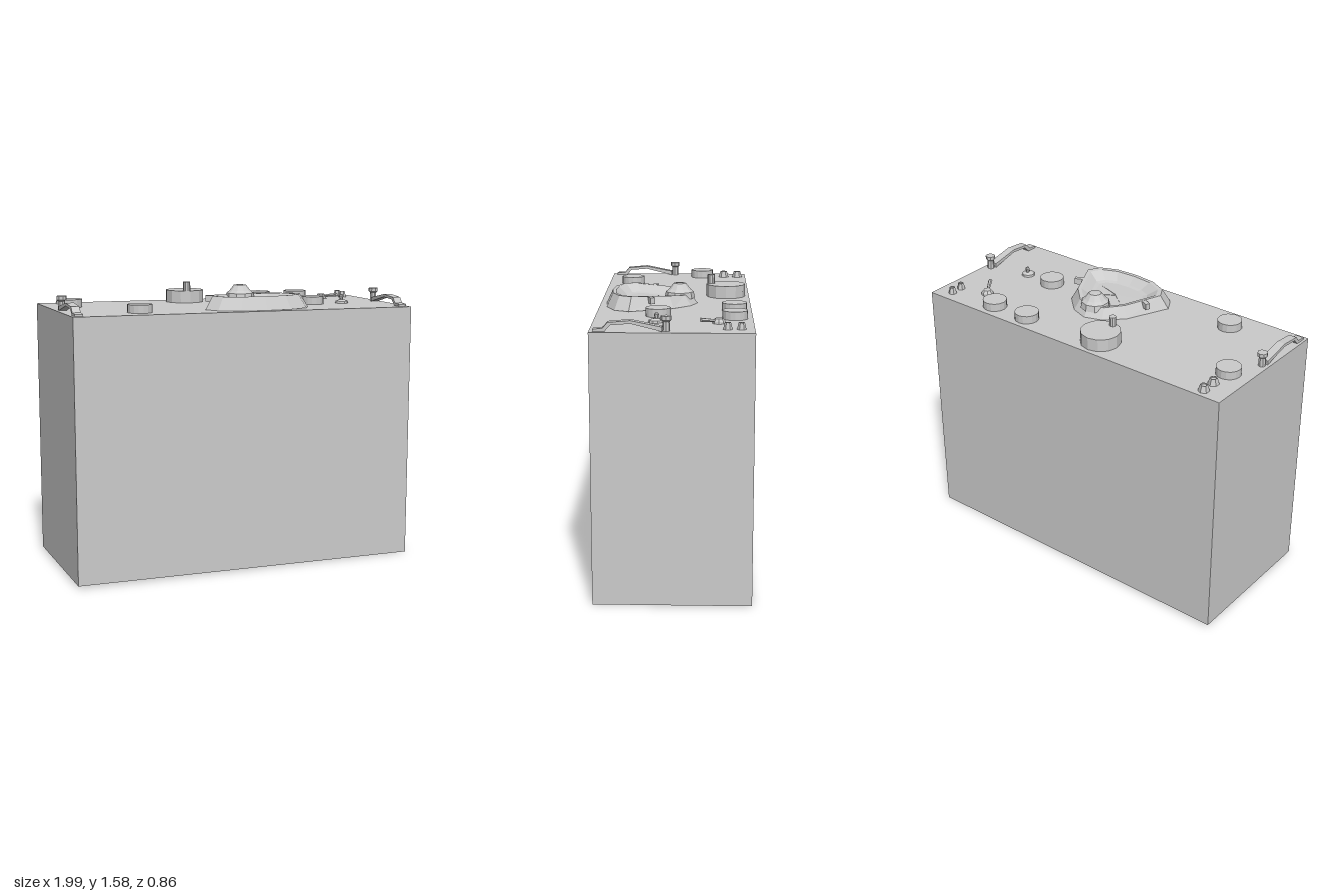
import * as THREE from 'three';

const material = new THREE.MeshStandardMaterial({ color: 0xcccccc, flatShading: true, side: THREE.DoubleSide });

// The case leans very slightly, so the lid height depends on x.
const lid = (x) => 1.461 - 0.006 * x;

export function createModel() {
  const model = new THREE.Group();

  function add(name, geometry, x = 0, y = 0, z = 0, parent = model) {
    const mesh = new THREE.Mesh(geometry, material);
    mesh.name = name;
    mesh.position.set(x, y, z);
    parent.add(mesh);
    return mesh;
  }

  // Upright round part standing on the lid, from [radius, height] steps
  function turned(name, x, z, sides, steps) {
    const points = steps.map(([r, h]) => new THREE.Vector2(r, h));
    return add(name, new THREE.LatheGeometry(points, sides), x, lid(x), z);
  }

  // Case: a box sheared a little along x
  const box = new THREE.BoxGeometry(1.993, 1.453, 0.84);
  const p = box.attributes.position;
  for (let i = 0; i < p.count; i++) {
    const x = p.getX(i);
    p.setY(i, p.getY(i) - 0.0068 * x);
    p.setZ(i, p.getZ(i) - 0.01 * x);
  }
  add('case', box, -0.002, 0.734, -0.005);

  // Five small dials
  for (const [x, z] of [[-0.87, -0.145], [-0.59, 0.275], [0.35, -0.335], [0.59, -0.335], [0.52, 0.075]]) {
    turned('dial', x, z, 16, [[0.068, 0], [0.068, 0.045], [0, 0.045]]);
  }

  // Large dial with its crank peg
  turned('largeDial', -0.14, -0.29, 12, [[0.112, 0], [0.112, 0.07], [0, 0.07]]);
  turned('crankPeg', -0.155, -0.205, 10, [[0.021, 0.06], [0.021, 0.122], [0, 0.122]]);

  // Hexagonal terminals
  for (const [x, z, r] of [[-0.87, -0.365, 0.031], [-0.87, -0.28, 0.031], [0.895, -0.365, 0.024], [0.895, -0.295, 0.024]]) {
    turned('terminal', x, z, 6, [[r, 0], [r * 0.65, 0.036], [r * 0.55, 0.036], [r * 0.5, 0.03], [0, 0.03]]);
  }

  // Lever switch
  turned('switchBase', 0.73, -0.25, 8, [[0.035, 0], [0.033, 0.012], [0.022, 0.026], [0, 0.026]]);
  const lever = add('switchLever', new THREE.CylinderGeometry(0.012, 0.007, 0.115, 6), 0.76, lid(0.76) + 0.02, -0.205);
  lever.quaternion.setFromUnitVectors(new THREE.Vector3(0, 1, 0), new THREE.Vector3(0.06, 0.015, 0.09).normalize());

  // Small toggle
  turned('toggleBase', 0.71, 0.08, 10, [[0.038, 0], [0.036, 0.012], [0.015, 0.02], [0, 0.02]]);
  turned('toggleStick', 0.71, 0.075, 6, [[0.008, 0.015], [0.013, 0.042], [0.008, 0.05], [0, 0.05]]);

  // Arched latches with a capped post at the back end, one at each side
  const arch = new THREE.Shape([
    [0, 0], [0, 0.012], [0.05, 0.016], [0.075, 0.046], [0.19, 0.056], [0.3, 0.034], [0.35, 0.024],
    [0.35, 0], [0.32, 0.008], [0.19, 0.04], [0.09, 0.032], [0.06, 0],
  ].map(([x, y]) => new THREE.Vector2(x, y)));
  for (const [x, z] of [[-0.96, 0.03], [0.95, 0.015]]) {
    const latch = new THREE.Group();
    latch.name = 'latch';
    latch.position.set(x, lid(x), z);
    model.add(latch);
    const strip = new THREE.ExtrudeGeometry(arch, { depth: 0.046, bevelEnabled: false });
    strip.rotateY(Math.PI / 2); // shape x runs towards -z
    add('latchStrip', strip, -0.023, 0, 0.37, latch);
    const post = [[0.02, 0], [0.019, 0.05], [0.028, 0.058], [0.028, 0.078], [0, 0.078]];
    add('latchPost', new THREE.LatheGeometry(post.map(([r, h]) => new THREE.Vector2(r, h)), 8), 0, 0, 0, latch);
  }

  // Dish: rounded triangular outline lofted up to a rim and down to a floor
  const half = [[0, -0.28], [0.1, -0.245], [0.2, -0.15], [0.31, 0.09], [0.265, 0.17], [0.15, 0.22], [0, 0.232]];
  const outline = [...half, ...half.slice(1, -1).reverse().map(([x, z]) => [-x, z])];
  const rings = [[1, 0], [0.85, 0.075], [0.77, 0.073], [0.58, 0.035], [0.5, 0.03], [0, 0.03]];
  const vertices = [], faces = [], n = outline.length;
  for (const [scale, height] of rings) {
    for (const [x, z] of outline) {
      const drop = z < -0.1 ? 1 - 0.25 * Math.min(1, (-0.1 - z) / 0.1) : 1;
      vertices.push(x * scale, height * drop, z * scale);
    }
  }
  for (let k = 0; k < rings.length - 1; k++) {
    for (let i = 0; i < n; i++) {
      const a = k * n + i, b = k * n + (i + 1) % n;
      faces.push(a, a + n, b, b, a + n, b + n);
    }
  }
  const dish = new THREE.BufferGeometry();
  dish.setAttribute('position', new THREE.Float32BufferAttribute(vertices, 3));
  dish.setIndex(faces);
  dish.computeVertexNormals();
  add('dish', dish, 0.11, lid(0.11), 0.15);

  // Domed button at the back of the dish
  turned('dishButton', 0.11, -0.03, 10, [[0.085, 0.03], [0.078, 0.065], [0.06, 0.08], [0.035, 0.112], [0, 0.115]]);

  // Clips on both sides of the rim
  for (const side of [-1, 1]) {
    const clip = add('rimClip', new THREE.BoxGeometry(0.05, 0.035, 0.025), 0.11 + side * 0.24, lid(0.11) + 0.052, 0.12);
    clip.rotation.y = side * 0.4;
  }

  return model;
}
